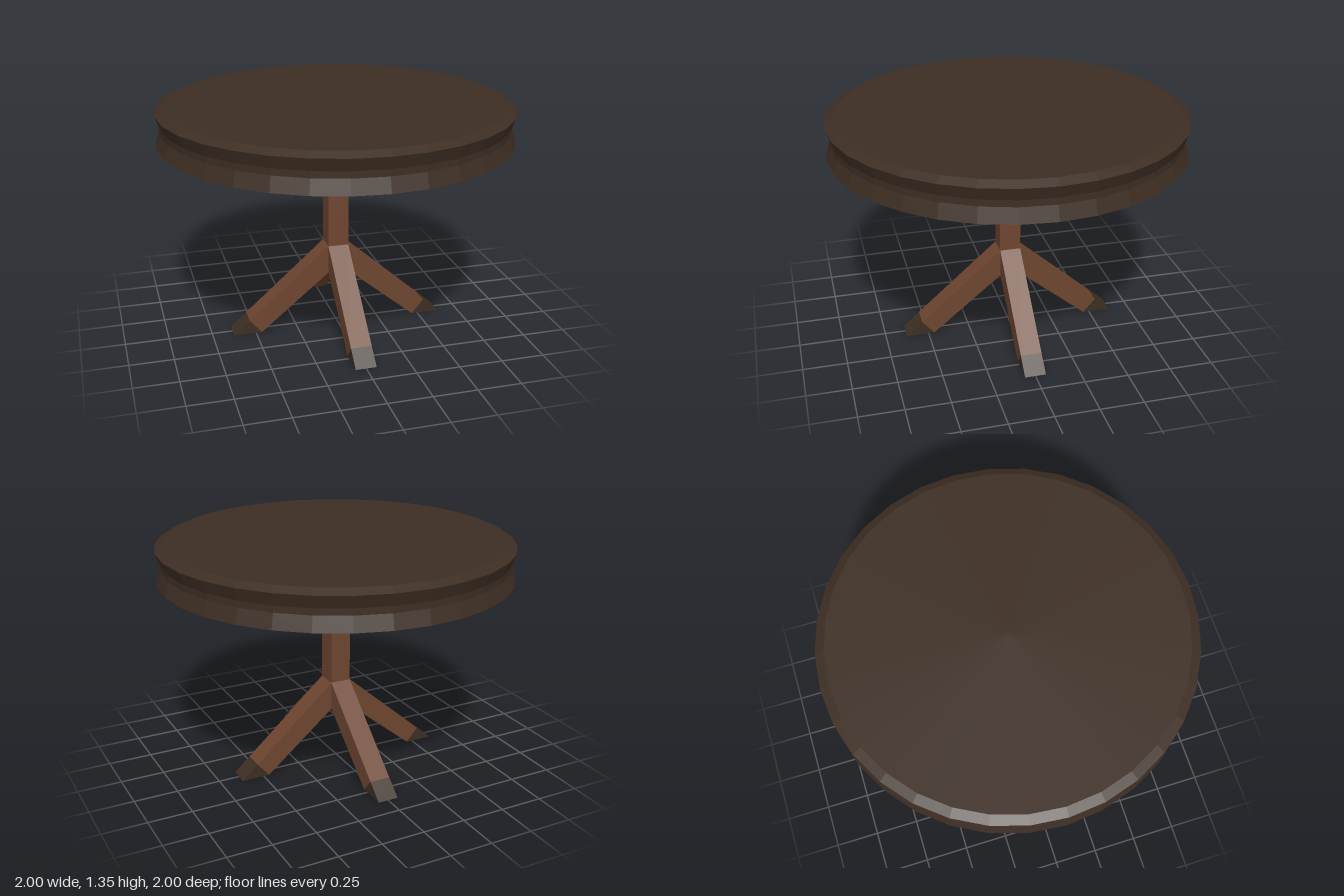
import * as THREE from 'three';

const HALF = 0.06; // half thickness of post and legs

// Prism with the given side outline, centred across its thickness
function prism(points, material, name) {
  const shape = new THREE.Shape(points.map(([x, y]) => new THREE.Vector2(x, y)));
  const geometry = new THREE.ExtrudeGeometry(shape, { depth: HALF * 2, bevelEnabled: false });
  geometry.translate(0, 0, -HALF);
  const mesh = new THREE.Mesh(geometry, material);
  mesh.name = name;
  return mesh;
}

export function createModel() {
  const wood = new THREE.MeshStandardMaterial({ name: 'reddish wood', color: 0x6e4530 });
  const dark = new THREE.MeshStandardMaterial({ name: 'dark wood', color: 0x3d2e23 });
  wood.flatShading = dark.flatShading = true;

  const table = new THREE.Group();
  table.name = 'pedestalTable';

  // Round top: shallow cone below, waisted rim, bevelled upper edge
  const profile = [
    [0, 1.1], [1, 1.14], [0.976, 1.22], [0.976, 1.256], [1, 1.325], [0.95, 1.35], [0, 1.35],
  ].map(([r, y]) => new THREE.Vector2(r, y));
  const top = new THREE.Mesh(new THREE.LatheGeometry(profile, 32), dark);
  top.name = 'tableTop';
  table.add(top);

  // Square post, from the underside of the legs up into the top
  const bottom = 0.335, height = 1.12 - bottom;
  const post = new THREE.Mesh(new THREE.BoxGeometry(HALF * 2, height, HALF * 2), wood);
  post.position.y = bottom + height / 2;
  post.name = 'post';
  table.add(post);

  // Four splayed legs with dark wedge feet
  for (let i = 0; i < 4; i++) {
    const leg = new THREE.Group();
    leg.name = 'leg' + (i + 1);
    leg.add(
      prism([[HALF, bottom], [0.465, 0], [0.535, 0.082], [HALF, 0.5]], wood, 'legBeam'),
      prism([[0.465, 0], [0.63, 0], [0.535, 0.082]], dark, 'foot'),
    );
    leg.rotation.y = i * Math.PI / 2;
    table.add(leg);
  }
  return table;
}
